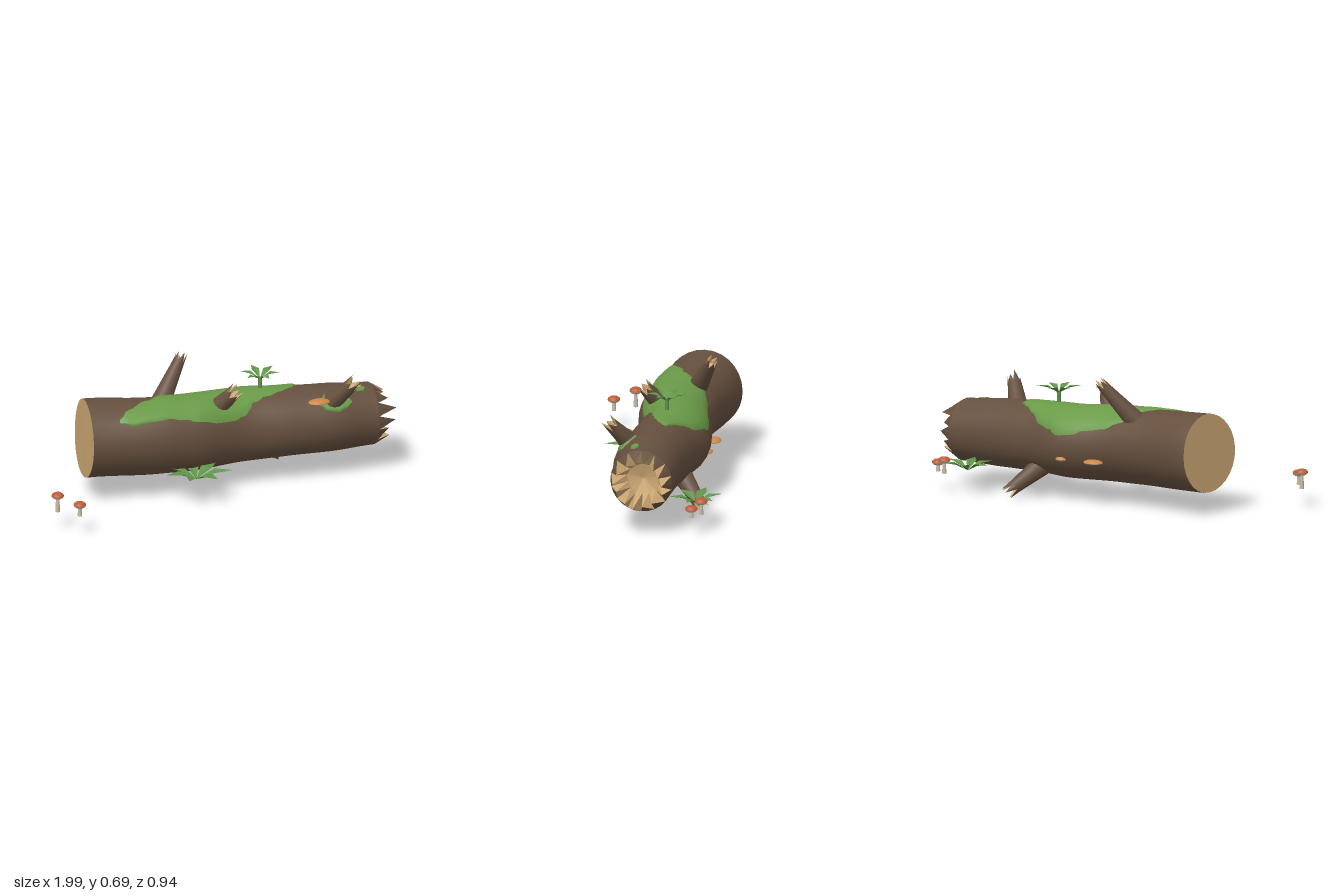
import * as THREE from 'three';

const V = (x, y, z) => new THREE.Vector3(x, y, z);
const mat = (name, color, side = THREE.FrontSide) => {
  const m = new THREE.MeshStandardMaterial({ color, side });
  m.name = name;
  return m;
};

// value lookup with eased interpolation; rows are [x, a, b, ...]
function at(rows, x) {
  let i = 0;
  while (i < rows.length - 2 && x > rows[i + 1][0]) i++;
  const [p, q] = [rows[i], rows[i + 1]];
  const t = THREE.MathUtils.smoothstep(x, p[0], q[0]);
  return p.slice(1).map((v, k) => v + (q[k + 1] - v) * t);
}

// log sections: x, centre y, centre z, radius
const LOG = [[-0.685, 0.34, -0.095, 0.207], [-0.3, 0.33, -0.057, 0.202], [-0.15, 0.325, -0.06, 0.2],
  [0.18, 0.315, -0.112, 0.192], [0.4, 0.315, -0.088, 0.184], [0.62, 0.312, -0.078, 0.18], [0.88, 0.305, -0.092, 0.165]];
const X0 = -0.685, X1 = 0.88;

// point on the log; phi turns from the top towards +z
function onLog(x, phi, lift = 0) {
  const [cy, cz, r0] = at(LOG, x);
  const fade = Math.min(1, (X1 - x) * 4);
  const r = r0 * (1 + 0.015 * fade * Math.sin(3 * phi + 5 * x)) + lift;
  const slant = Math.max(0, (-0.5 - x) / 0.185);
  return V(x + slant * (0.007 * Math.cos(phi) - 0.015 * Math.sin(phi)), cy + r * Math.cos(phi), cz + r * Math.sin(phi));
}

// smooth indexed sheet from fn(i, j); wrap closes it along i
function sheet(nu, nv, fn, wrap) {
  const pos = [], idx = [], cols = wrap ? nu : nu + 1;
  for (let j = 0; j <= nv; j++) for (let i = 0; i < cols; i++) pos.push(...fn(i / nu, j / nv).toArray());
  for (let j = 0; j < nv; j++) for (let i = 0; i < nu; i++) {
    const a = j * cols + i, b = j * cols + ((i + 1) % cols), c = a + cols, d = b + cols;
    idx.push(a, b, d, a, d, c);
  }
  const g = new THREE.BufferGeometry();
  g.setAttribute('position', new THREE.Float32BufferAttribute(pos, 3));
  g.setIndex(idx);
  g.computeVertexNormals();
  return g;
}

// flat-faced geometry from a list of corners, three per triangle
function facets(points) {
  const g = new THREE.BufferGeometry().setFromPoints(points);
  g.computeVertexNormals();
  return g;
}

export function createModel() {
  const model = new THREE.Group();
  const bark = mat('bark brown', 0x66503f);
  const wood = mat('pale wood', 0xcaa672, THREE.DoubleSide);
  const moss = mat('moss green', 0x6a9a48, THREE.DoubleSide);
  const leaf = mat('leaf green', 0x5f9448, THREE.DoubleSide);
  const red = mat('mushroom red', 0xbf5c38);
  const orange = mat('shelf orange', 0xcd8748);
  const cream = mat('mushroom cream', 0xcbbda6);

  let seed = 7;
  const rnd = () => (seed = (seed * 16807) % 2147483647) / 2147483647;
  const add = (parent, name, geo, material) => {
    const m = new THREE.Mesh(geo, material);
    m.name = name;
    parent.add(m);
    return m;
  };
  const group = (name, parent = model) => {
    const g = new THREE.Group();
    g.name = name;
    parent.add(g);
    return g;
  };

  // splintered end pointing up +y: bark outside, wood inside
  function brokenEnd(parent, n, r, len, lean, depth) {
    const g = group('brokenEnd', parent), out = [], inn = [];
    const p = (k, rad, y) => V(rad * Math.cos(k * Math.PI / n), y, rad * Math.sin(k * Math.PI / n));
    const inner = Array.from({ length: n }, (_, i) => p(2 * i, r * (0.45 + 0.1 * rnd()), -depth * 0.6));
    const mid = V(0, -depth, 0);
    for (let i = 0; i < n; i++) {
      const a = p(2 * i, r, 0), m = p(2 * i + 1, r, 0), b = p(2 * i + 2, r, 0);
      const tip = p(2 * i + 0.6 + 0.8 * rnd(), r * (lean + 0.16 * rnd()), len * (0.5 + 0.5 * rnd()));
      const q = inner[i], s = inner[(i + 1) % n];
      out.push(a, tip, m, m, tip, b);
      inn.push(a, q, tip, q, s, tip, s, b, tip, q, mid, s);
    }
    add(g, 'barkSplinters', facets(out), bark);
    add(g, 'woodSplinters', facets(inn), wood);
    return g;
  }

  // trunk with a sawn end and a broken end
  const trunk = group('trunk');
  add(trunk, 'trunkBark', sheet(28, 30, (u, v) => onLog(X0 + v * (X1 - X0), u * Math.PI * 2), true), bark);
  const cut = [], hub = V(X0, 0.34, -0.095);
  for (let i = 0; i < 28; i++) cut.push(hub, onLog(X0, (i + 1) * Math.PI / 14), onLog(X0, i * Math.PI / 14));
  add(trunk, 'sawnEnd', facets(cut), wood);
  const end = brokenEnd(trunk, 14, 0.165, 0.115, 0.66, 0.06);
  end.rotation.z = -Math.PI / 2;
  end.position.set(X1, 0.305, -0.092);

  // broken branches: base, tip, base radius, tip radius
  for (const [a, b, r0, r1] of [
    [V(-0.26, 0.46, -0.14), V(-0.12, 0.65, -0.245), 0.056, 0.031],
    [V(-0.01, 0.43, -0.03), V(0.075, 0.545, 0.045), 0.056, 0.038],
    [V(0.6, 0.39, -0.01), V(0.71, 0.54, 0.095), 0.058, 0.036],
    [V(0.32, 0.19, -0.18), V(0.425, 0.075, -0.295), 0.055, 0.036],
  ]) {
    const g = group('branch'), d = b.clone().sub(a), L = d.length();
    g.position.copy(a);
    g.quaternion.setFromUnitVectors(V(0, 1, 0), d.normalize());
    add(g, 'branchBark', new THREE.CylinderGeometry(r1, r0, L, 12, 1, true), bark).position.y = L / 2;
    brokenEnd(g, 6, r1, 0.062, 0.85, 0.015).position.y = L;
  }

  // moss patches hugging the log: x, back angle, front angle
  for (const rows of [
    [[-0.54, 0.78, 0.88], [-0.48, 0.45, 0.96], [-0.36, 0.05, 0.86], [-0.27, -0.3, 0.82], [-0.2, -0.8, 0.9],
      [-0.1, -1.05, 0.98], [0, -1.12, 1.08], [0.08, -1.22, 1.1], [0.16, -1.25, 0.98], [0.22, -1.1, 0.6],
      [0.3, -1.0, 0.4], [0.37, -0.7, 0.22], [0.44, -0.45, 0.03], [0.49, -0.3, -0.2]],
    [[0.56, 0.75, 0.85], [0.6, 0.45, 1.02], [0.66, 0.35, 1.08], [0.7, 0.5, 1.0], [0.74, 0.75, 0.85]],
    [[0.775, 0.26, 0.32], [0.79, 0.16, 0.42], [0.82, 0.16, 0.42], [0.835, 0.25, 0.33]],
  ]) {
    const xa = rows[0][0], xb = rows[rows.length - 1][0];
    add(model, 'mossPatch', sheet(14, 48, (u, v) => {
      const x = xa + v * (xb - xa), [lo, hi] = at(rows, x);
      const rim = u === 0 || u === 1 || v === 0 || v === 1;
      return onLog(x, lo + u * (hi - lo), rim ? -0.001 : 0.006);
    }), moss);
  }

  // leafy plants: centre, leaf count, reach, rise, turn, stem height
  for (const [c, n, R, rise, turn, stem] of [
    [V(-0.15, 0.142, 0.15), 7, 0.18, 0.048, 0.3, 0],
    [V(0.69, 0.142, -0.345), 6, 0.14, 0.045, 0.15, 0],
    [V(0.28, 0.56, -0.1), 6, 0.105, 0.04, 0.4, 0.08],
  ]) {
    const g = group('plant');
    g.position.copy(c);
    for (let i = 0; i < n; i++) {
      const k = R * (0.9 + 0.2 * rnd()), w = R * 0.2;
      const base = V(0, 0, 0), mid = V(k * 0.5, rise * 0.72, 0), tip = V(k, rise, 0);
      const l = V(k * 0.5, rise * 0.95, w), r = V(k * 0.5, rise * 0.95, -w);
      const m = add(g, 'leaf', facets([base, l, mid, base, mid, r, l, tip, mid, mid, tip, r]), leaf);
      m.rotation.y = -(turn + i * 2 * Math.PI / n);
    }
    if (stem) add(g, 'plantStem', new THREE.CylinderGeometry(0.012, 0.009, stem, 8), leaf).position.y = 0.01 - stem / 2;
  }

  // rounded cap with pale underside, unit radius
  function cap(parent, top, h, u) {
    const lathe = (pts) => new THREE.LatheGeometry(pts.map(([x, y]) => new THREE.Vector2(x, y)), 20);
    add(parent, 'capTop', lathe([[1, 0], [0.92, h * 0.45], [0.65, h * 0.83], [0.3, h * 0.98], [0, h]]), top);
    add(parent, 'capUnderside', lathe([[0, -u], [0.6, -u * 0.85], [0.9, -u * 0.4], [1, 0]]), cream);
  }

  // toadstools: x, z, rim height
  for (const [x, z, y] of [[-0.97, 0.335, 0.207], [-0.88, 0.432, 0.18], [0.805, -0.395, 0.19], [0.872, -0.357, 0.167]]) {
    const g = group('toadstool');
    g.position.set(x, 0.12, z);
    const stemH = y - 0.125;
    add(g, 'stem', new THREE.CylinderGeometry(0.009, 0.012, stemH, 10), cream).position.y = stemH / 2;
    const c = group('cap', g);
    c.position.y = y - 0.12;
    c.scale.setScalar(0.033);
    cap(c, red, 0.58, 0.48);
  }

  // shelf fungi on the log sides: position, half width, half depth
  for (const [x, y, z, w, d] of [[0.55, 0.458, 0.065, 0.058, 0.04], [-0.065, 0.25, -0.27, 0.055, 0.045], [0.13, 0.25, -0.285, 0.032, 0.028]]) {
    const g = group('shelfFungus');
    g.position.set(x, y, z);
    g.scale.set(w, 0.03, d);
    cap(g, orange, 0.5, 0.3);
  }
  return model;
}
